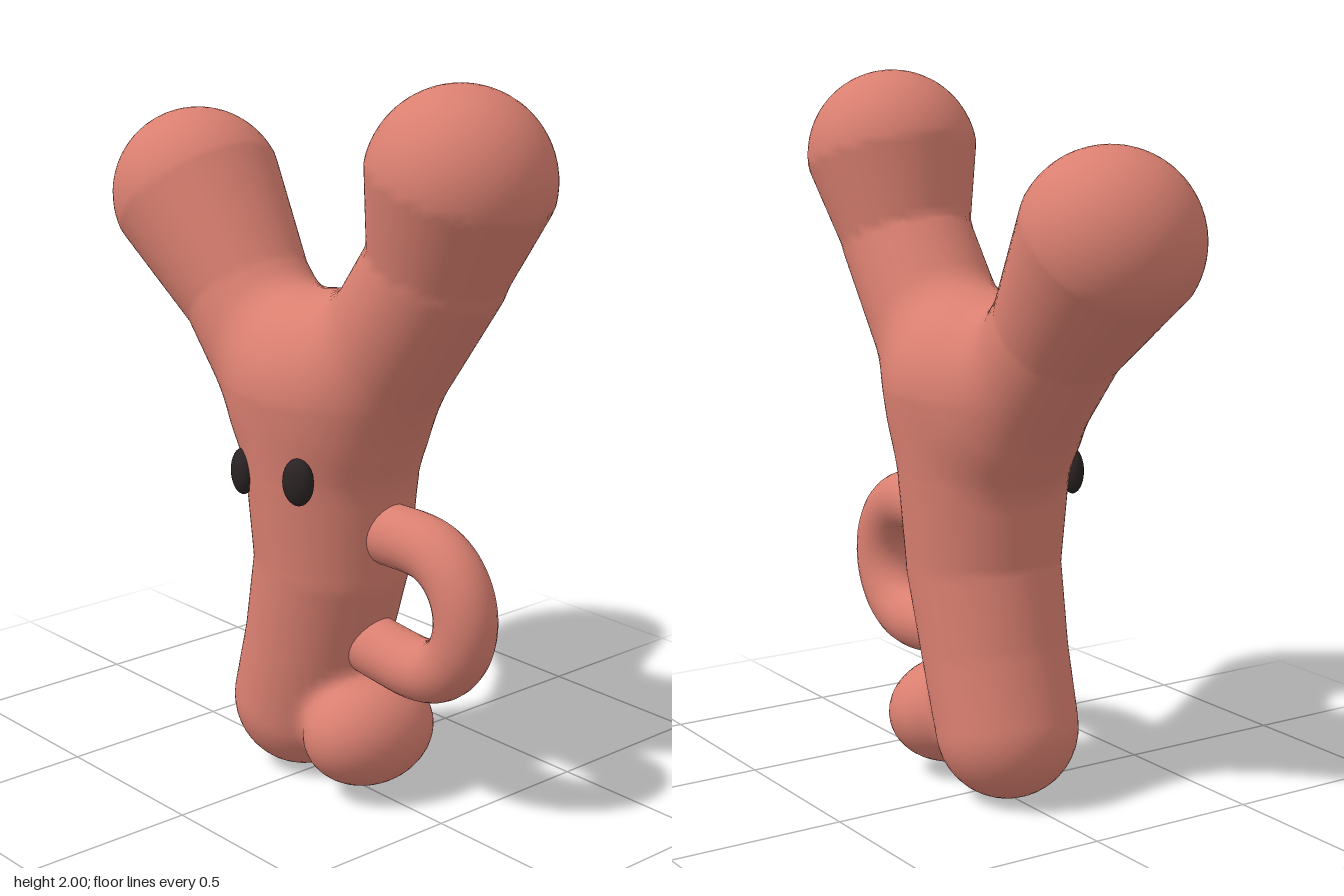
import * as THREE from 'three';

// Limbs as chains of [x, y, radius] in the z = 0 plane
const LIMBS = [
  [[-0.07, 0.2, 0.2], [-0.01, 0.4, 0.205], [0.05, 0.65, 0.217], [0.05, 0.9, 0.238], [0.05, 1.14, 0.265]], // trunk
  [[0.15, 1.11, 0.19], [0.455, 1.53, 0.187], [0.528, 1.755, 0.245]], // left arm
  [[-0.1, 1.1, 0.19], [-0.31, 1.34, 0.185], [-0.53, 1.59, 0.245]], // right arm
];
const FOOT = { x: 0.205, y: 0.182, rx: 0.158, ry: 0.155, rz: 0.2 };

// Distance to a chain of tapered capsules
function limbDistance(limb, x, y, z) {
  let best = Infinity;
  for (let i = 0; i < limb.length - 1; i++) {
    const [ax, ay, ar] = limb[i], [bx, by, br] = limb[i + 1];
    const dx = bx - ax, dy = by - ay;
    const t = THREE.MathUtils.clamp(((x - ax) * dx + (y - ay) * dy) / (dx * dx + dy * dy), 0, 1);
    best = Math.min(best, Math.hypot(x - ax - t * dx, y - ay - t * dy, z) - ar - t * (br - ar));
  }
  return best;
}

function footDistance(x, y, z) {
  const { rx, ry, rz } = FOOT;
  const px = (x - FOOT.x) / rx, py = (y - FOOT.y) / ry, pz = z / rz;
  const k = Math.hypot(px, py, pz);
  return (k * (k - 1)) / (Math.hypot(px / rx, py / ry, pz / rz) || 1);
}

function smoothMin(a, b, k) {
  const h = Math.max(k - Math.abs(a - b), 0) / k;
  return Math.min(a, b) - h * h * k * 0.25;
}

function bodyDistance(x, y, z) {
  let d = limbDistance(LIMBS[0], x, y, z);
  d = smoothMin(d, limbDistance(LIMBS[1], x, y, z), 0.1);
  d = smoothMin(d, limbDistance(LIMBS[2], x, y, z), 0.1);
  return smoothMin(d, footDistance(x, y, z), 0.05);
}

function gradient(p, e = 0.008) {
  const { x, y, z } = p;
  return new THREE.Vector3(
    bodyDistance(x + e, y, z) - bodyDistance(x - e, y, z),
    bodyDistance(x, y + e, z) - bodyDistance(x, y - e, z),
    bodyDistance(x, y, z + e) - bodyDistance(x, y, z - e)
  ).divideScalar(2 * e);
}

// Skin the blended body: one vertex per crossed grid cell, one quad per crossed grid edge
function bodyGeometry(cell = 0.025) {
  const min = [-0.85, -0.06, -0.33], size = [69, 86, 28];
  const stride = [1, size[0], size[0] * size[1]];
  const at = (i, axis) => min[axis] + i * cell;
  const field = new Float32Array(size[0] * size[1] * size[2]);
  const eachPoint = (fn) => {
    for (let k = 0; k < size[2] - 1; k++)
      for (let j = 0; j < size[1] - 1; j++)
        for (let i = 0; i < size[0] - 1; i++) fn(i, j, k, i + j * stride[1] + k * stride[2]);
  };
  field.fill(1);
  eachPoint((i, j, k, id) => { field[id] = bodyDistance(at(i, 0), at(j, 1), at(k, 2)); });

  const positions = [], normals = [], indices = [], vertexOf = new Map();
  eachPoint((i, j, k, id) => {
    let inside = 0;
    for (let c = 0; c < 8; c++) {
      if (field[id + (c & 1) + ((c >> 1) & 1) * stride[1] + (c >> 2) * stride[2]] < 0) inside++;
    }
    if (inside === 0 || inside === 8) return;
    const p = new THREE.Vector3(at(i + 0.5, 0), at(j + 0.5, 1), at(k + 0.5, 2));
    for (let step = 0; step < 5; step++) {
      const g = gradient(p);
      p.addScaledVector(g, -bodyDistance(p.x, p.y, p.z) / Math.max(g.lengthSq(), 0.2));
    }
    vertexOf.set(id, positions.length / 3);
    positions.push(p.x, p.y, p.z);
    normals.push(...gradient(p).normalize().toArray());
  });
  eachPoint((i, j, k, id) => {
    for (let axis = 0; axis < 3; axis++) {
      const here = field[id] < 0, next = field[id + stride[axis]] < 0;
      if (here === next) continue;
      const u = stride[(axis + 1) % 3], v = stride[(axis + 2) % 3];
      const [a, b, c, d] = [id - u - v, id - v, id, id - u].map((n) => vertexOf.get(n));
      if (here) indices.push(a, b, c, a, c, d);
      else indices.push(a, c, b, a, d, c);
    }
  });

  const geometry = new THREE.BufferGeometry();
  geometry.setAttribute('position', new THREE.Float32BufferAttribute(positions, 3));
  geometry.setAttribute('normal', new THREE.Float32BufferAttribute(normals, 3));
  geometry.setIndex(indices);
  return geometry;
}

export function createModel() {
  const model = new THREE.Group();
  model.name = 'forkedCreature';
  const clay = new THREE.MeshStandardMaterial({ name: 'clayPink', color: 0xd97f70 });
  const black = new THREE.MeshStandardMaterial({ name: 'eyeBlack', color: 0x2a2323 });
  const add = (name, geometry, material, x = 0, y = 0, z = 0) => {
    const mesh = new THREE.Mesh(geometry, material);
    mesh.name = name;
    mesh.position.set(x, y, z);
    model.add(mesh);
    return mesh;
  };

  add('body', bodyGeometry(), clay);

  // Looped handle with both ends buried in the trunk
  const points = [new THREE.Vector3(0.14, 0.765, 0), new THREE.Vector3(0.27, 0.765, 0)];
  for (let i = 0; i <= 8; i++) {
    const a = Math.PI * (0.5 - i / 8);
    points.push(new THREE.Vector3(0.385 + 0.175 * Math.cos(a), 0.588 + 0.177 * Math.sin(a), 0));
  }
  points.push(new THREE.Vector3(0.27, 0.418, 0), new THREE.Vector3(0.1, 0.44, 0));
  const loop = new THREE.CatmullRomCurve3(points);
  add('handle', new THREE.TubeGeometry(loop, 64, 0.086, 24), clay, 0, 0, -0.018);

  // Oval eyes turned to follow the trunk
  for (const [name, x, y, z, turn] of [['leftEye', 0.172, 0.938, 0.227, 0.3], ['rightEye', -0.08, 0.908, 0.21, -0.3]]) {
    const eye = add(name, new THREE.SphereGeometry(1, 24, 16), black, x, y, z);
    eye.scale.set(0.046, 0.065, 0.031);
    eye.rotation.y = turn;
  }
  return model;
}
